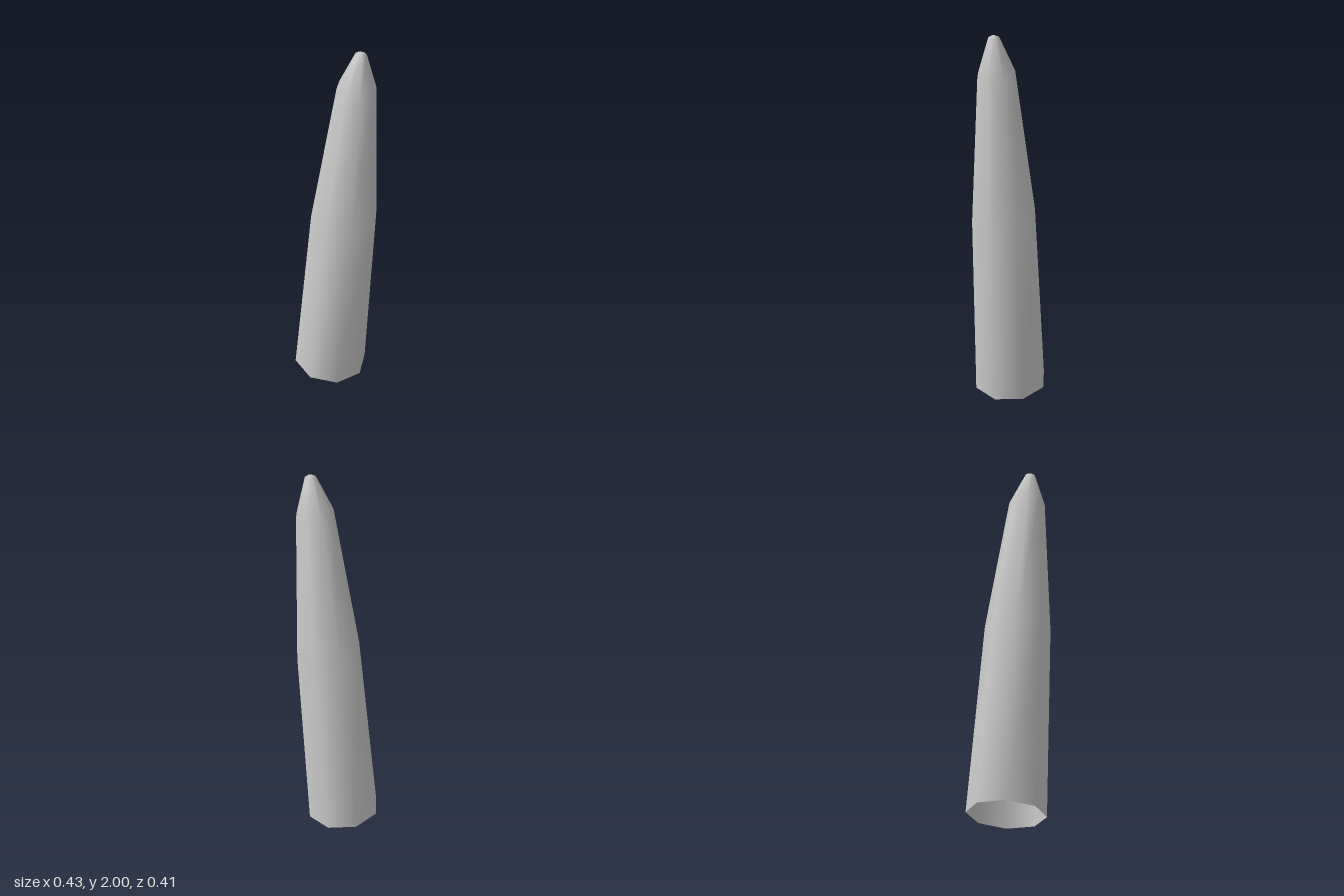
import * as THREE from 'three';

const SIDES = 8;
const PHASE = THREE.MathUtils.degToRad(-7);

// Rings along the leaning axis: centre x, y, z and radius
const RINGS = [
  [-0.02, 0.02, -0.012, 0.195],
  [0.047, 1.03, 0.038, 0.169],
  [0.1, 1.8, 0.085, 0.096],
  [0.117, 1.985, 0.101, 0.028],
];
const APEX = [0.118, 2.0, 0.102];
const LEAN_X = 0.067, LEAN_Z = 0.056;

// Eight-sided shell, open below and closed by a blunt tip
function spikeGeometry() {
  const positions = [], index = [];
  for (const [cx, cy, cz, r] of RINGS) {
    for (let j = 0; j < SIDES; j++) {
      const a = PHASE + (j / SIDES) * Math.PI * 2;
      const dx = r * Math.cos(a), dz = r * Math.sin(a);
      // each ring is tilted square to the leaning axis
      positions.push(cx + dx, cy - dx * LEAN_X - dz * LEAN_Z, cz + dz);
    }
  }
  const apex = positions.length / 3;
  positions.push(...APEX);
  for (let i = 0; i < RINGS.length; i++) {
    for (let j = 0; j < SIDES; j++) {
      const a = i * SIDES + j, b = i * SIDES + (j + 1) % SIDES;
      if (i === RINGS.length - 1) index.push(a, apex, b);
      else index.push(a, a + SIDES, b, b, a + SIDES, b + SIDES);
    }
  }
  const geometry = new THREE.BufferGeometry();
  geometry.setAttribute('position', new THREE.Float32BufferAttribute(positions, 3));
  geometry.setIndex(index);
  geometry.computeVertexNormals();
  return geometry;
}

export function createModel() {
  const group = new THREE.Group();
  const material = new THREE.MeshStandardMaterial({ color: 0xcccccc, side: THREE.DoubleSide });
  const spike = new THREE.Mesh(spikeGeometry(), material);
  spike.name = 'spike';
  group.add(spike);
  return group;
}
